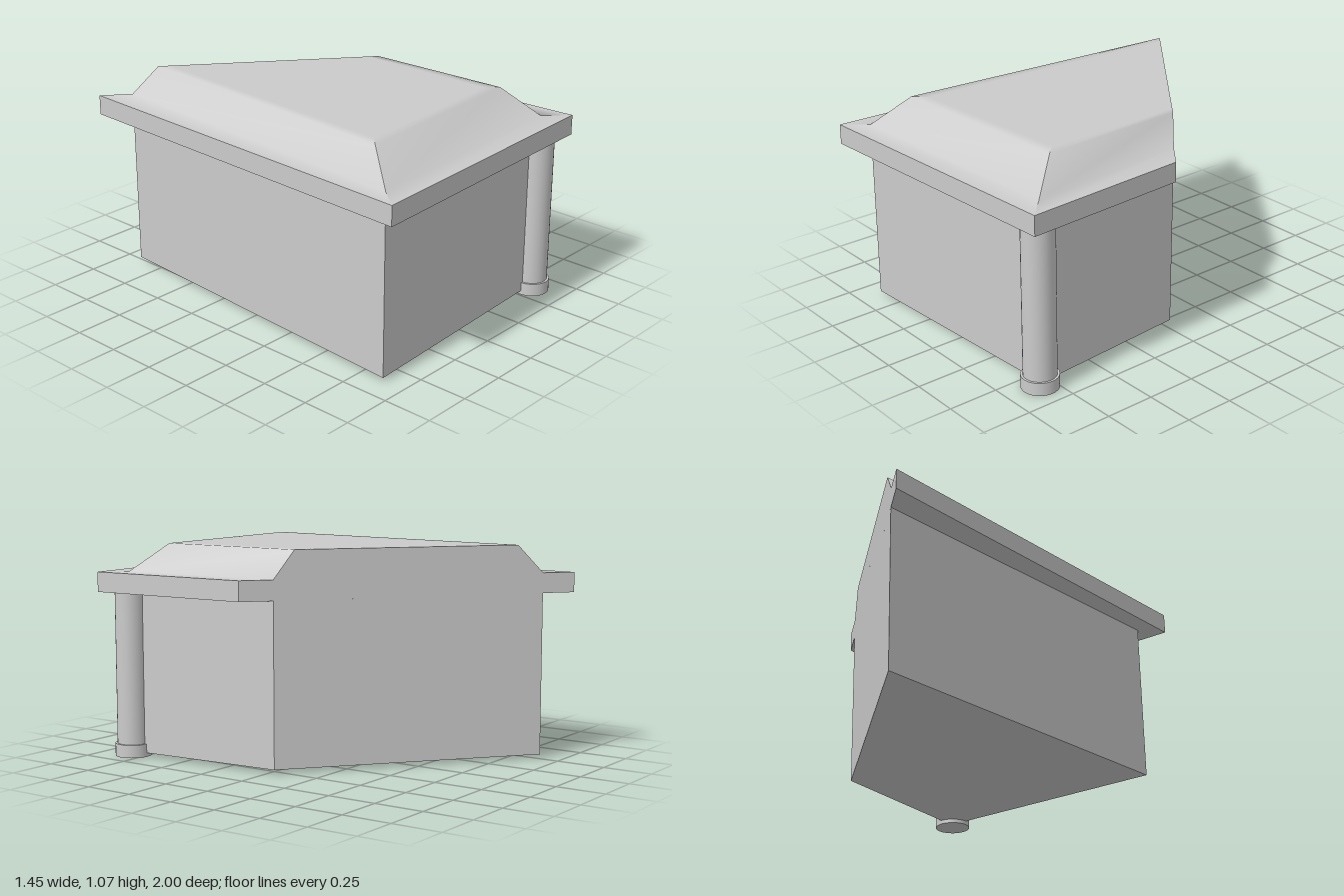
import * as THREE from 'three';

// Plan outlines [x, z], each running back-left, front-left, front-right, back-right.
// All back corners lie on one diagonal cut.
const RIM = [[-0.64, -1], [-0.725, 1], [0.72, 0.93], [0.675, 0.07]];
const WALL = [[-0.511, -0.895], [-0.63, 0.885], [0.61, 0.82], [0.546, -0.035]];
const TOP = [[-0.407, -0.81], [-0.51, 0.72], [0.487, 0.66], [0.466, -0.1]];
const INNER = [[-0.36, -0.772], [-0.45, 0.66], [0.43, 0.6], [0.42, -0.137]];
const FLOOR = 0.02, EAVE = 0.83, SHELF = 0.93, RIDGE = 1.07;

const at = (plan, y) => plan.map(([x, z]) => [x, y, z]);

export function createModel() {
  const group = new THREE.Group();
  const material = new THREE.MeshStandardMaterial({ color: 0xcccccc });

  const add = (name, geometry) => {
    const mesh = new THREE.Mesh(geometry, material);
    mesh.name = name;
    group.add(mesh);
    return mesh;
  };

  // Flat quads with counterclockwise corners
  const quads = (list) => {
    const g = new THREE.BufferGeometry();
    const pos = list.flatMap(([a, b, c, d]) => [a, b, c, a, c, d]).flat();
    g.setAttribute('position', new THREE.Float32BufferAttribute(pos, 3));
    g.computeVertexNormals();
    return g;
  };

  // Band between neighbouring outlines, smooth from the outside inwards
  const strip = (rings, i) => {
    const g = new THREE.BufferGeometry();
    const pos = rings.flatMap((r) => [r[i], r[i + 1]]).flat();
    const index = [];
    for (let k = 0; k < rings.length - 1; k++) {
      const a = 2 * k;
      index.push(a, a + 1, a + 3, a, a + 3, a + 2);
    }
    g.setAttribute('position', new THREE.Float32BufferAttribute(pos, 3));
    g.setIndex(index);
    g.computeVertexNormals();
    return g;
  };

  // Walls and floor
  const low = at(WALL, FLOOR), high = at(WALL, EAVE);
  const sides = [0, 1, 2, 3].map((i) => {
    const j = (i + 1) % 4;
    return [low[i], low[j], high[j], high[i]];
  });
  add('walls', quads(sides));
  add('floor', quads([[...low].reverse()]));

  // Eave board, its underside and its cut back face
  const rimLow = at(RIM, EAVE), rimHigh = at(RIM, SHELF);
  const base = at(WALL, SHELF), top = at(TOP, RIDGE), inner = at(INNER, RIDGE);
  const fascia = [0, 1, 2].map((i) => [rimLow[i], rimLow[i + 1], rimHigh[i + 1], rimHigh[i]]);
  add('eaveBoard', quads(fascia));
  add('eaveUnderside', quads([[...rimLow].reverse()]));
  add('roofBack', quads([
    [rimLow[3], rimLow[0], rimHigh[0], rimHigh[3]],
    [base[3], base[0], top[0], top[3]],
  ]));

  // Shelf and slope on the three outer sides, then the flat top
  ['roofLeft', 'roofFront', 'roofRight'].forEach((name, i) => {
    add(name, strip([rimHigh, base, top, inner], i));
  });
  add('roofTop', quads([inner]));

  // Corner column on a wider foot
  const column = add('column', new THREE.CylinderGeometry(0.08, 0.08, EAVE, 32));
  column.position.set(0.6, EAVE / 2, 0.82);
  const foot = add('columnFoot', new THREE.CylinderGeometry(0.091, 0.091, 0.065, 32));
  foot.position.set(0.6, 0.0325, 0.82);

  return group;
}
